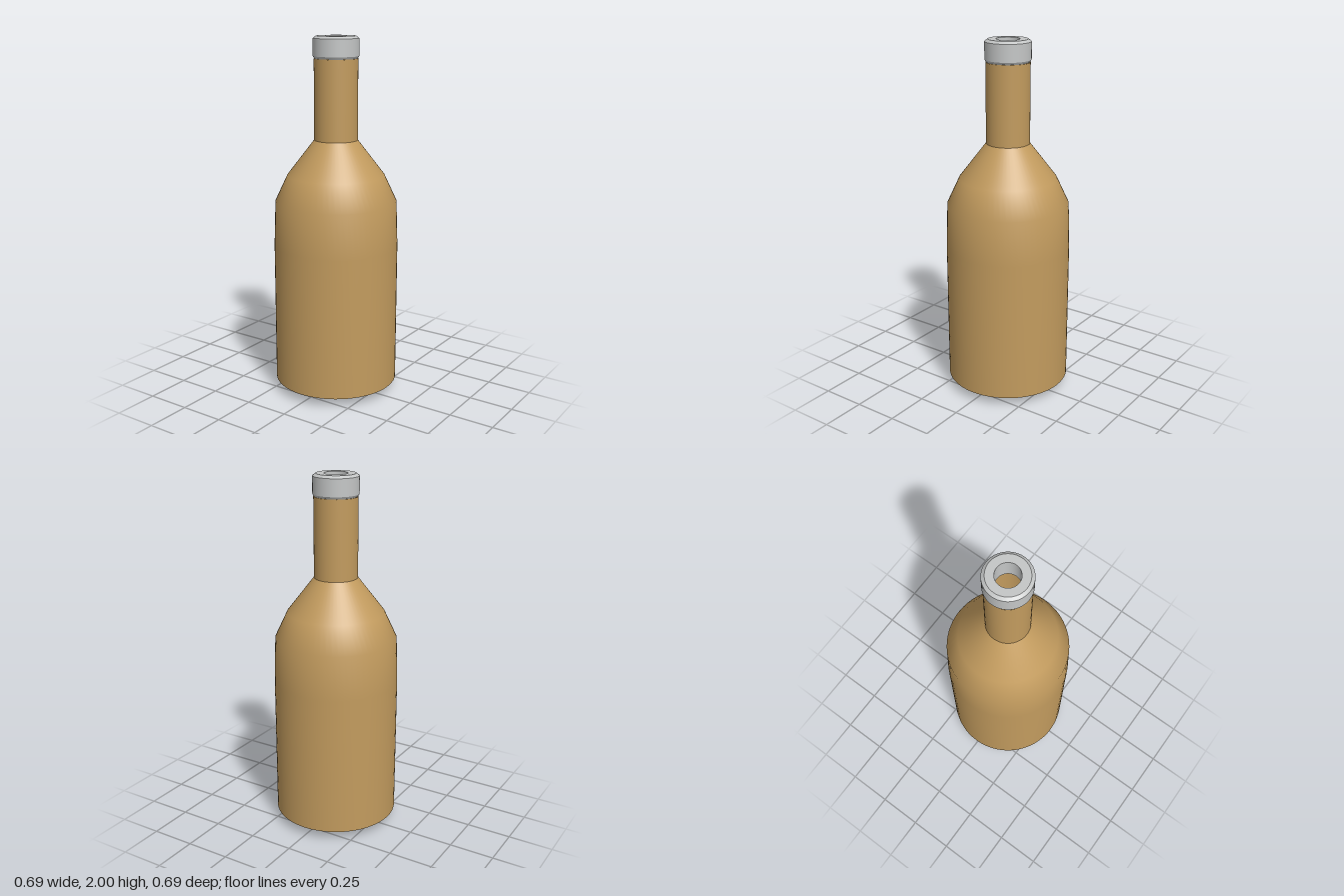
import * as THREE from 'three';

const SEGMENTS = 64;

// Smooth surface of revolution through [radius, height] points
function turned(name, points, material) {
  const profile = points.map(([r, y]) => new THREE.Vector2(r, y));
  const mesh = new THREE.Mesh(new THREE.LatheGeometry(profile, SEGMENTS), material);
  mesh.name = name;
  return mesh;
}

export function createModel() {
  const glass = new THREE.MeshStandardMaterial({ color: 0xc29b5e, side: THREE.DoubleSide });
  glass.name = 'amber glass';
  const metal = new THREE.MeshStandardMaterial({ color: 0xc4c6c6, side: THREE.DoubleSide });
  metal.name = 'pale grey metal';

  const model = new THREE.Group();
  model.name = 'bottle';

  // Open shell: sloping base rim, rounded body with shoulder, straight neck
  model.add(
    turned('baseRim', [[0.235, 0], [0.347, 0.055]], glass),
    turned('body', [[0.347, 0.055], [0.347, 0.85], [0.338, 1.1], [0.27, 1.245], [0.12, 1.44]], glass),
    turned('neck', [[0.12, 1.44], [0.12, 1.88]], glass)
  );

  // Cap ring with a round bore; one band per profile step keeps its edges sharp
  const cap = new THREE.Group();
  cap.name = 'cap';
  const ring = [
    [0.064, 1.88], [0.117, 1.88], [0.125, 1.893], [0.125, 1.987],
    [0.108, 2], [0.064, 2], [0.064, 1.88],
  ];
  const bands = ['capUnderside', 'capLowerBevel', 'capSide', 'capUpperBevel', 'capTop', 'capBore'];
  bands.forEach((name, i) => cap.add(turned(name, [ring[i], ring[i + 1]], metal)));
  model.add(cap);

  return model;
}
